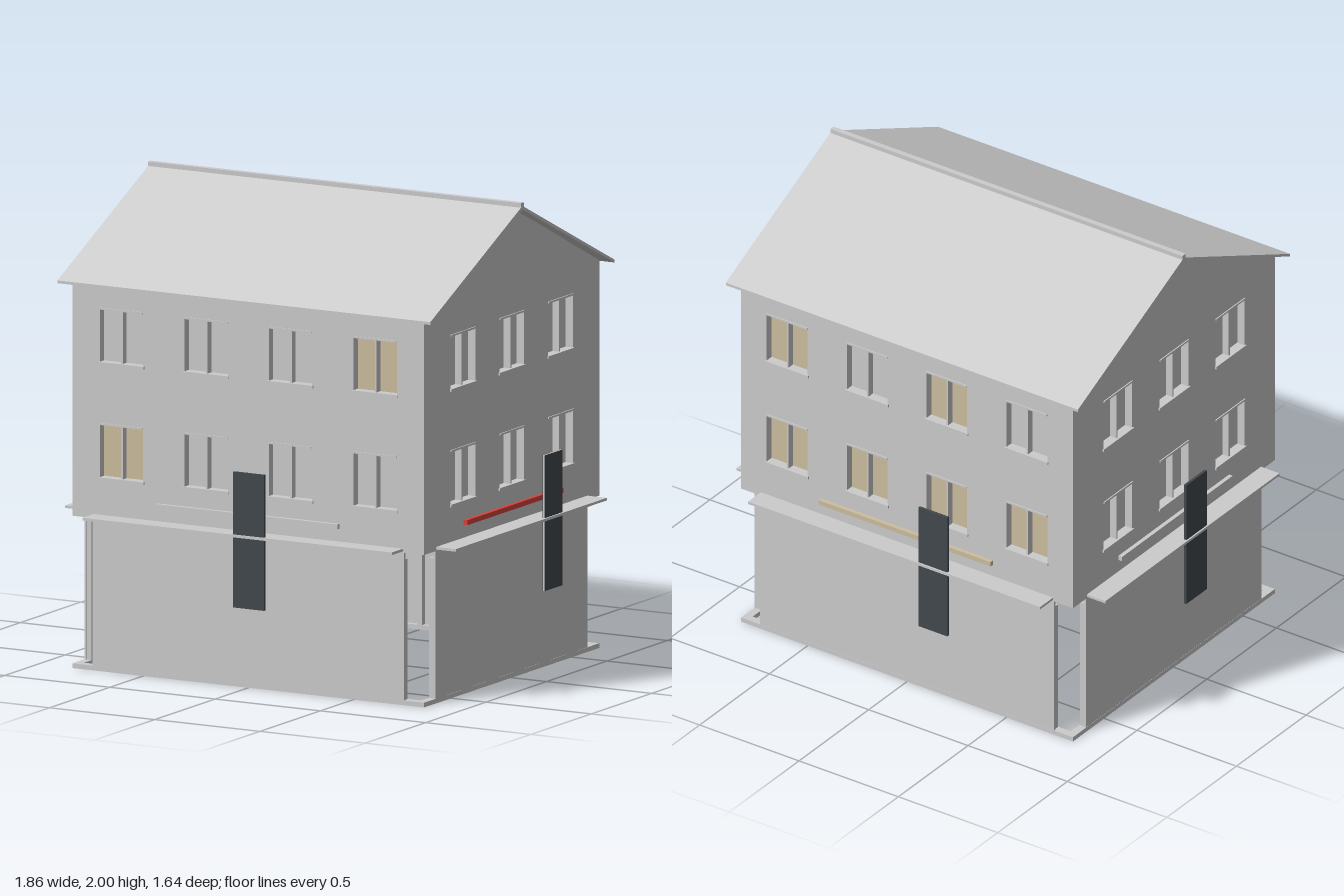
import * as THREE from 'three';

const mat = (name, color) => Object.assign(new THREE.MeshStandardMaterial({ color }), { name });

export function createModel() {
  const plaster = mat('light grey plaster', 0xcccccc);
  const warm = mat('warm lit glass', 0xccbe9f);
  const dark = mat('dark sign panel', 0x42494d);
  const red = mat('red sign', 0xd8433c);

  const model = new THREE.Group();
  model.name = 'house';

  const add = (parent, name, geometry, material) => {
    const mesh = new THREE.Mesh(geometry, material);
    mesh.name = name;
    parent.add(mesh);
    return mesh;
  };
  // box given by its limits on each axis
  const box = (parent, name, material, x0, x1, y0, y1, z0, z1) => {
    const mesh = add(parent, name, new THREE.BoxGeometry(x1 - x0, y1 - y0, z1 - z0), material);
    mesh.position.set((x0 + x1) / 2, (y0 + y1) / 2, (z0 + z1) / 2);
    return mesh;
  };
  const polygon = (Type, points) => new Type(points.map(([x, y]) => new THREE.Vector2(x, y)));

  const ROWS = [0.815, 1.3]; // window bottoms
  const W = 0.103, H = 0.22; // window half width and height
  const WALL = 0.045;

  // One elevation, facing +z with its outer face at z = 0
  function facade(o) {
    const side = new THREE.Group();
    side.name = o.name;

    // upper wall, pierced by the windows
    const outline = [[-o.half, 0.64], [o.half, 0.64], [o.half, 1.63]];
    if (o.gable) outline.push([0, 1.975]);
    outline.push([-o.half, 1.63]);
    const shape = polygon(THREE.Shape, outline);
    for (const y of ROWS) for (const x of o.windows) {
      shape.holes.push(polygon(THREE.Path, [[x - W, y], [x - W, y + H], [x + W, y + H], [x + W, y]]));
    }
    const wall = new THREE.ExtrudeGeometry(shape, { depth: WALL, bevelEnabled: false });
    add(side, 'upperWall', wall.translate(0, 0, -WALL), plaster);

    // recessed panes, mullion, sill and lintel
    ROWS.forEach((y, row) => o.windows.forEach((x, i) => {
      const glass = o.lit[row].includes(i) ? warm : plaster;
      box(side, 'windowPane', glass, x - W, x + W, y, y + H, -0.045, -0.036);
      box(side, 'windowMullion', plaster, x - 0.004, x + 0.004, y, y + H, -0.036, -0.004);
      box(side, 'windowSill', plaster, x - W - 0.006, x + W + 0.006, y - 0.011, y, -0.01, 0.007);
      box(side, 'windowLintel', plaster, x - W, x + W, y + H, y + H + 0.008, -0.01, 0.005);
    }));

    // ground floor sheet with upright ribs on the inside
    const g = o.ground;
    box(side, 'groundWall', plaster, -g, g, 0.02, 0.645, -0.01, -0.001);
    const ribs = 7;
    for (let i = 0; i < ribs; i++) {
      const x = -g + 0.015 + (i * (2 * g - 0.03)) / (ribs - 1);
      box(side, 'groundRib', plaster, x - 0.012, x + 0.012, 0.02, 0.61, -0.034, -0.01);
    }
    box(side, 'baseRail', plaster, -o.half, o.half, 0, 0.02, -0.035, 0);

    // canopy, fascia sign and hanging sign
    box(side, 'canopy', plaster, -g + 0.005, g - 0.005, 0.646, 0.657, -0.01, 0.093);
    box(side, 'fasciaSign', o.fascia, -o.fasciaHalf, o.fasciaHalf, 0.711, 0.732, 0, 0.018);
    const s = o.sign;
    if (o.framedSign) {
      box(side, 'hangingSignCore', plaster, s - 0.072, s + 0.072, 0.35, 0.92, 0.075, 0.083);
      box(side, 'hangingSignFace', dark, s - 0.072, s + 0.072, 0.35, 0.92, 0.083, 0.085);
      box(side, 'hangingSignFace', dark, s - 0.072, s + 0.072, 0.35, 0.92, 0.073, 0.075);
    } else {
      box(side, 'hangingSign', dark, s - 0.073, s + 0.073, 0.35, 0.92, 0.074, 0.086);
    }
    side.rotation.y = o.turn;
    side.position.set(Math.sin(o.turn) * 0.835, 0, Math.cos(o.turn) * 0.725);
    model.add(side);
  }

  const long = { half: 0.835, windows: [-0.603, -0.2, 0.2, 0.603], ground: 0.74, fasciaHalf: 0.433 };
  const short = { half: 0.722, gable: true, windows: [-0.403, 0, 0.403], ground: 0.63, fasciaHalf: 0.397, lit: [[], []] };
  facade({ ...long, name: 'frontSide', turn: 0, lit: [[0], [3]], fascia: plaster, sign: 0.05 });
  facade({ ...long, name: 'backSide', turn: Math.PI, lit: [[0, 1, 2, 3], [0, 2]], fascia: warm, sign: 0.19 });
  facade({ ...short, name: 'leftSide', turn: Math.PI / 2, fascia: red, sign: 0.2, framedSign: true });
  facade({ ...short, name: 'rightSide', turn: -Math.PI / 2, fascia: plaster, sign: 0.04 });

  // thin gable roof and ridge cap
  const chevron = polygon(THREE.Shape, [
    [-0.762, 1.63], [-0.762, 1.618], [0, 1.972], [0.762, 1.618], [0.762, 1.63], [0, 1.987],
  ]);
  const roof = new THREE.ExtrudeGeometry(chevron, { depth: 1.772, bevelEnabled: false });
  add(model, 'roof', roof.translate(0, 0, -0.886).rotateY(Math.PI / 2), plaster);
  box(model, 'ridgeCap', plaster, -0.886, 0.886, 1.975, 2, -0.012, 0.012);

  return model;
}
